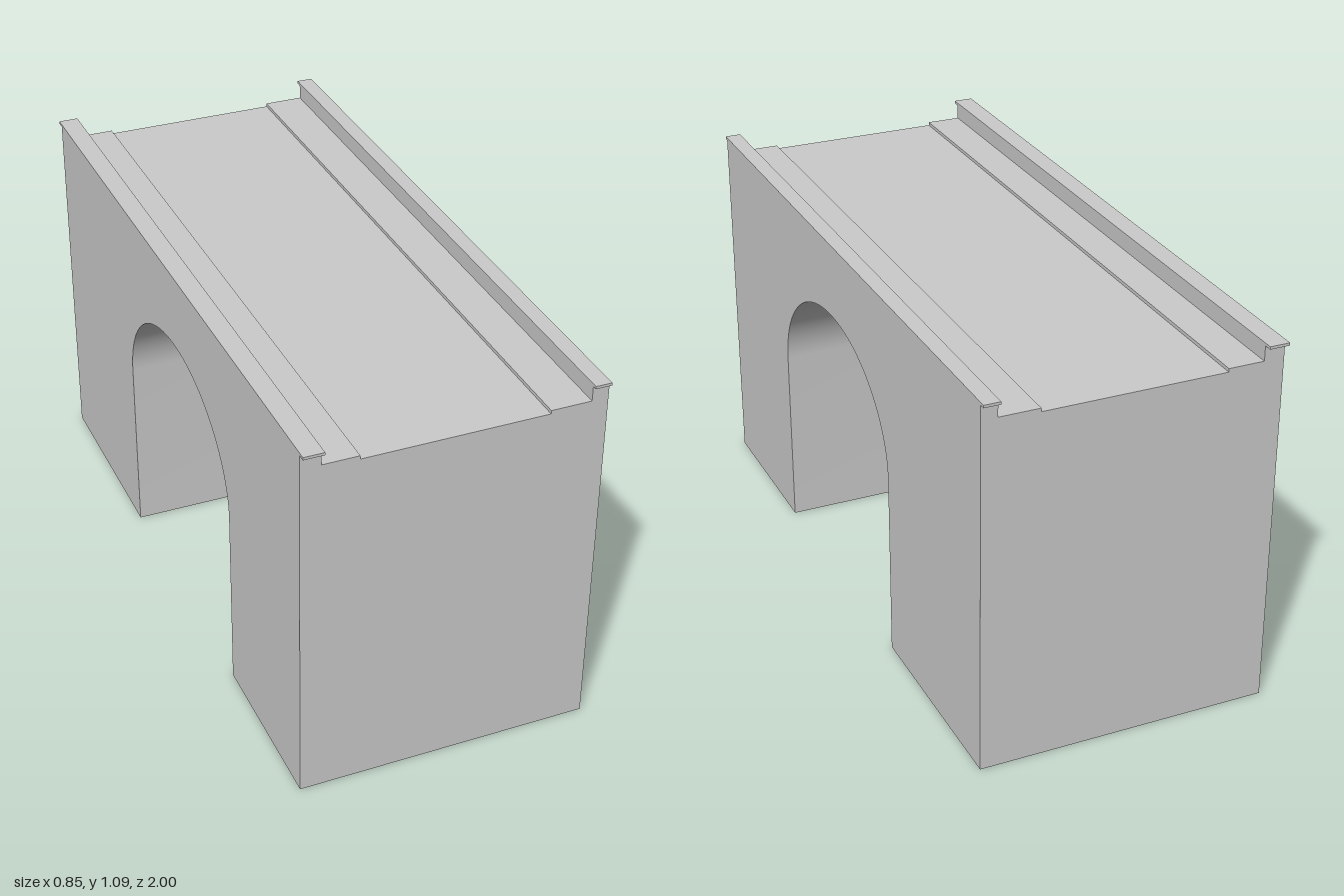
import * as THREE from 'three';
import { toCreasedNormals } from 'three/addons/utils/BufferGeometryUtils.js';

const material = new THREE.MeshStandardMaterial({ color: 0xcccccc });

// Heights and outer limits of the bridge
const ROAD = 1.032, WALK = 1.042, WALL = 1.085, TOP = 1.093;
const LEFT = 0.422, RIGHT = -0.426, END = 0.977;

// Box given by its limits on each axis
function slab(name, x0, x1, y0, y1, z0, z1) {
  const geometry = new THREE.BoxGeometry(x1 - x0, y1 - y0, z1 - z0);
  geometry.translate((x0 + x1) / 2, (y0 + y1) / 2, (z0 + z1) / 2);
  const mesh = new THREE.Mesh(geometry, material);
  mesh.name = name;
  return mesh;
}

// Side outline with the arched passage, extruded across the width
function archedBody() {
  const front = 0.47, back = -0.355, spring = 0.55, crown = 0.872;
  const shape = new THREE.Shape();
  shape.moveTo(-END, 0);
  shape.lineTo(back, 0);
  shape.lineTo(back, spring);
  shape.absellipse((front + back) / 2, spring, (front - back) / 2, crown - spring, Math.PI, 0, true);
  shape.lineTo(front, 0);
  shape.lineTo(END, 0);
  shape.lineTo(END, ROAD);
  shape.lineTo(-END, ROAD);
  shape.closePath();
  const geometry = new THREE.ExtrudeGeometry(shape, {
    depth: LEFT - RIGHT, bevelEnabled: false, curveSegments: 32,
  });
  geometry.rotateY(-Math.PI / 2);
  geometry.translate(LEFT, 0, 0);
  const mesh = new THREE.Mesh(toCreasedNormals(geometry, 0.5), material);
  mesh.name = 'archedBody';
  return mesh;
}

export function createModel() {
  const group = new THREE.Group();
  group.name = 'archBridge';
  group.add(archedBody());

  // Raised walkways beside the road
  group.add(slab('leftWalkway', 0.259, 0.375, ROAD, WALK, -END, END));
  group.add(slab('rightWalkway', -0.368, -0.265, ROAD, WALK, -END, END));

  // Parapet walls
  group.add(slab('leftParapet', 0.375, LEFT, ROAD, WALL, -END, END));
  group.add(slab('rightParapet', RIGHT, -0.368, ROAD, WALL, -END, END));

  // Thin coping slabs reaching past both ends
  group.add(slab('leftCoping', 0.375, LEFT, WALL, TOP, -0.995, 0.99));
  group.add(slab('rightCoping', RIGHT, -0.368, WALL, TOP, -1, 1));
  return group;
}
